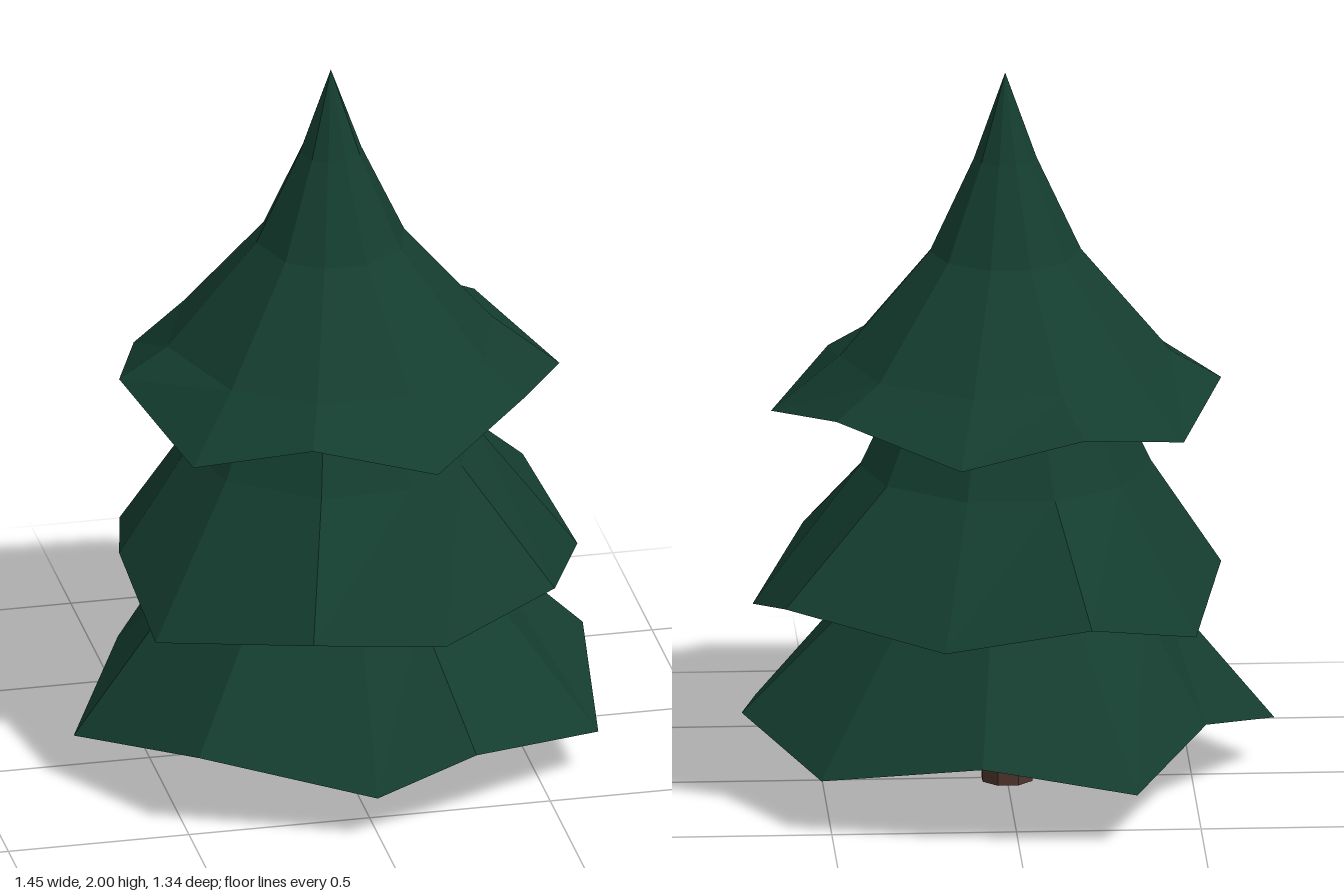
import * as THREE from 'three';

const green = new THREE.MeshStandardMaterial({ color: 0x143d2f, flatShading: true });
const brown = new THREE.MeshStandardMaterial({ color: 0x4d332b, flatShading: true });

// Trunk axis sits slightly off the origin
const AX = 0.005, AZ = -0.015;

// Each tier: rings above the rim [y, r], rim points [angle, radius, y], hollow underside rings
const tiers = [
  {
    name: 'lowerBranches',
    above: [[0.95, 0], [0.9, 0.19], [0.53, 0.42]],
    rim: [[-187, 0.735, 0.13], [-151, 0.6, 0.23], [-115.5, 0.74, 0.15], [-81.5, 0.68, 0.23], [-44, 0.735, 0.155],
      [-9, 0.733, 0.23], [29, 0.757, 0.13], [67, 0.685, 0.22], [91, 0.655, 0.13], [133, 0.695, 0.23]],
    under: [[0.58, 0.15], [0.6, 0]],
  },
  {
    name: 'middleBranches',
    above: [[1.45, 0], [1.4, 0.14], [1.1, 0.3], [0.9, 0.395]],
    rim: [[-178, 0.58, 0.61], [-139, 0.65, 0.52], [-107, 0.675, 0.61], [-72, 0.64, 0.54], [-33, 0.74, 0.61],
      [-2, 0.69, 0.51], [39, 0.68, 0.6], [69, 0.57, 0.505], [106, 0.695, 0.61], [148, 0.66, 0.51]],
    under: [[0.85, 0.25], [0.88, 0]],
  },
  {
    name: 'topBranches',
    above: [[2, 0], [1.76, 0.085], [1.5, 0.205], [1.21, 0.45]],
    rim: [[-178, 0.58, 1.13], [-140, 0.6, 1.06], [-107, 0.615, 1.13], [-76, 0.645, 1.06], [-38, 0.61, 1.13],
      [-2, 0.64, 1.055], [35, 0.57, 1.13], [74, 0.615, 1.05], [107, 0.565, 1.13], [139, 0.62, 1.05]],
    under: [[1.3, 0.22], [1.33, 0]],
  },
];

// Closed flared skirt, strung from the tip down over the rim and back up inside
function makeTier({ name, above, rim, under }) {
  const ring = ([y, r]) => rim.map(([deg]) => {
    const a = THREE.MathUtils.degToRad(deg);
    return [AX + r * Math.cos(a), y, AZ + r * Math.sin(a)];
  });
  const edge = rim.map(([deg, r, y]) => {
    const a = THREE.MathUtils.degToRad(deg);
    return [r * Math.cos(a), y, r * Math.sin(a)];
  });
  const rings = [...above.map(ring), edge, ...under.map(ring)];
  const n = rim.length, last = rings.length - 2, pos = [];
  for (let j = 0; j <= last; j++) {
    const p = rings[j], q = rings[j + 1];
    for (let i = 0; i < n; i++) {
      const k = (i + 1) % n;
      if (j < last) pos.push(...q[i], ...p[i], ...q[k]);
      if (j > 0) pos.push(...p[i], ...p[k], ...q[k]);
    }
  }
  const geo = new THREE.BufferGeometry();
  geo.setAttribute('position', new THREE.Float32BufferAttribute(pos, 3));
  geo.computeVertexNormals();
  const mesh = new THREE.Mesh(geo, green);
  mesh.name = name;
  return mesh;
}

export function createModel() {
  const tree = new THREE.Group();
  tree.name = 'pineTree';

  const trunk = new THREE.Mesh(new THREE.CylinderGeometry(0.065, 0.073, 0.7, 8), brown);
  trunk.name = 'trunk';
  trunk.position.set(0, 0.35, -0.01);
  trunk.rotation.y = Math.PI / 8;
  tree.add(trunk);

  for (const tier of tiers) tree.add(makeTier(tier));
  return tree;
}
